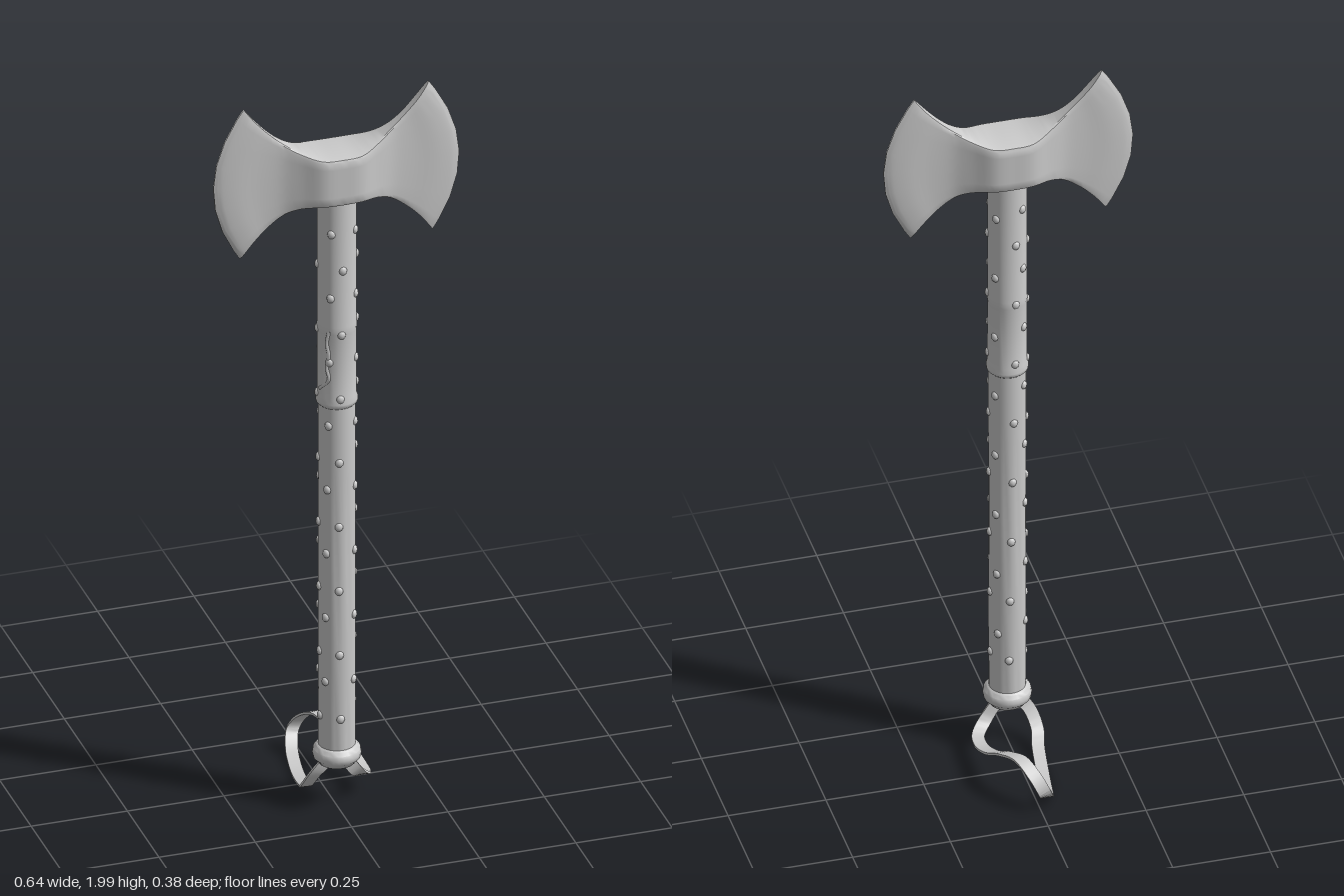
import * as THREE from 'three';
import { mergeGeometries, toCreasedNormals } from 'three/addons/utils/BufferGeometryUtils.js';

const material = new THREE.MeshStandardMaterial({ color: 0xcccccc });
const AXIS_Z = 0.126; // the shaft stands forward of centre, the strap trails behind

// Skin a list of closed rings (arrays of Vector3) and cap both ends
function loft(rings, crease) {
  const n = rings[0].length, pos = [], index = [];
  rings.flat().forEach(p => pos.push(p.x, p.y, p.z));
  for (let i = 0; i < rings.length - 1; i++) {
    for (let j = 0; j < n; j++) {
      const a = i * n + j, b = i * n + (j + 1) % n, c = a + n, d = b + n;
      index.push(a, c, b, b, c, d);
    }
  }
  const last = (rings.length - 1) * n;
  for (let j = 1; j < n - 1; j++) {
    index.push(0, j, j + 1);
    index.push(last, last + j + 1, last + j);
  }
  const g = new THREE.BufferGeometry();
  g.setAttribute('position', new THREE.Float32BufferAttribute(pos, 3));
  g.setIndex(index);
  return toCreasedNormals(g, crease);
}

// Double blade: columns run across x, each a rounded slab bowed outwards
function headGeometry() {
  // top x, top y, bottom x, bottom y, half thickness, outward bow
  const half = [
    [0, 1.85, 0, 1.72, 0.064, 0],
    [0.05, 1.852, 0.05, 1.72, 0.061, 0],
    [0.1, 1.868, 0.1, 1.712, 0.036, 0],
    [0.14, 1.892, 0.14, 1.695, 0.019, 0.006],
    [0.175, 1.922, 0.18, 1.665, 0.0135, 0.022],
    [0.21, 1.96, 0.218, 1.627, 0.0135, 0.048],
    [0.233, 1.99, 0.243, 1.593, 0.008, 0.067],
    [0.24, 2.0, 0.25, 1.583, 0.002, 0.074],
  ];
  const mirrored = half.slice(1).reverse().map(([a, b, c, d, h, w]) => [-a, b, -c, d, h, -w]);
  const rows = [...mirrored, ...half];
  const top = new THREE.CatmullRomCurve3(rows.map(r => new THREE.Vector3(r[0], r[1], r[4])));
  const bottom = new THREE.CatmullRomCurve3(rows.map(r => new THREE.Vector3(r[2], r[3], r[5])));
  // slab section: height -1..1 paired with relative thickness
  const side = [[-1, 0.82], [-0.97, 0.95], [-0.88, 1], [-0.6, 1], [-0.3, 1], [0, 1],
    [0.3, 1], [0.6, 1], [0.88, 1], [0.97, 0.95], [1, 0.82]];
  const section = [...side, ...side.slice().reverse().map(([s, w]) => [s, -w])];
  const rings = [], steps = 56;
  for (let i = 0; i <= steps; i++) {
    const t = top.getPoint(i / steps), b = bottom.getPoint(i / steps);
    rings.push(section.map(([s, w]) => new THREE.Vector3(
      THREE.MathUtils.lerp(b.x, t.x, (s + 1) / 2) + b.z * (1 - s * s),
      THREE.MathUtils.lerp(b.y, t.y, (s + 1) / 2),
      AXIS_Z + t.z * w)));
  }
  return loft(rings, 0.6);
}

// Flat wrist strap looping back from the pommel
function strapGeometry() {
  const path = new THREE.CatmullRomCurve3([
    [-0.02, 0.14, 0.13], [-0.052, 0.1, 0.12], [-0.065, 0.055, 0.09], [-0.056, 0.033, 0.05],
    [-0.045, 0.014, -0.03], [-0.036, 0.012, -0.09], [-0.025, 0.026, -0.15], [-0.01, 0.06, -0.187],
    [0.01, 0.1, -0.172], [0.035, 0.128, -0.125], [0.06, 0.113, -0.07], [0.08, 0.08, -0.01],
    [0.09, 0.062, 0.05], [0.086, 0.064, 0.09], [0.06, 0.085, 0.12], [0.02, 0.14, 0.13],
  ].map(p => new THREE.Vector3(...p)));
  const rings = [], steps = 80;
  for (let i = 0; i <= steps; i++) {
    const p = path.getPoint(i / steps), T = path.getTangent(i / steps);
    const W = new THREE.Vector3(1, 0, 0).addScaledVector(T, -T.x).normalize();
    const N = new THREE.Vector3().crossVectors(T, W);
    rings.push([[1, 1], [1, -1], [-1, -1], [-1, 1]].map(([w, n]) =>
      p.clone().addScaledVector(W, w * 0.016).addScaledVector(N, n * 0.003)));
  }
  return loft(rings, 0.7);
}

// Small knobs in staggered columns around the shaft
function knobGeometry() {
  const knobs = [], columns = 8;
  for (let c = 0; c < columns; c++) {
    for (let y = 0.27 + (c % 2) * 0.09 + (c % 3) * 0.012; y < 1.7; y += 0.18) {
      const r = y > 1.15 ? 0.048 : 0.046;
      const a = c / columns * Math.PI * 2 + Math.sin(y * 37 + c * 5) * 0.2;
      const g = new THREE.SphereGeometry(0.0105, 8, 6);
      g.scale(1, 1.1, 0.75);
      g.rotateY(a);
      g.translate(r * Math.sin(a), y, r * Math.cos(a));
      knobs.push(g);
    }
  }
  return mergeGeometries(knobs);
}

export function createModel() {
  const model = new THREE.Group();
  const add = (name, geometry, onAxis = true) => {
    const mesh = new THREE.Mesh(geometry, material);
    mesh.name = name;
    if (onAxis) mesh.position.set(0.002, 0, AXIS_Z);
    model.add(mesh);
    return mesh;
  };
  const lathe = points => toCreasedNormals(
    new THREE.LatheGeometry(points.map(p => new THREE.Vector2(...p)), 28), 0.8);

  add('axeHead', headGeometry(), false);

  // Shaft with its thicker upper wrap and rolled wrap edge
  add('shaft', lathe([[0, 0.15], [0.046, 0.15], [0.047, 0.4], [0.046, 0.7], [0.047, 1.0],
    [0.047, 1.16], [0.047, 1.74], [0, 1.74]]));
  add('upperWrap', lathe([[0.046, 1.14], [0.052, 1.146], [0.053, 1.155], [0.0495, 1.168],
    [0.049, 1.35], [0.0505, 1.36], [0.049, 1.37], [0.049, 1.73]]));

  // Overlapping seam on the wrap
  const seam = new THREE.CatmullRomCurve3([0, 1, 2, 3, 4, 5].map(i => {
    const a = -0.85 + (i % 2) * 0.12 - (i === 0 ? 0.5 : 0);
    return new THREE.Vector3(0.048 * Math.sin(a), 1.19 + i * 0.034, 0.048 * Math.cos(a));
  }));
  add('wrapSeam', new THREE.TubeGeometry(seam, 24, 0.005, 6));

  add('knobs', knobGeometry());

  // Rounded pommel
  add('pommel', lathe([[0, 0.126], [0.03, 0.127], [0.046, 0.131], [0.051, 0.139], [0.059, 0.147],
    [0.061, 0.158], [0.059, 0.17], [0.052, 0.179], [0.046, 0.182]]));

  add('wristStrap', strapGeometry(), false);
  return model;
}
